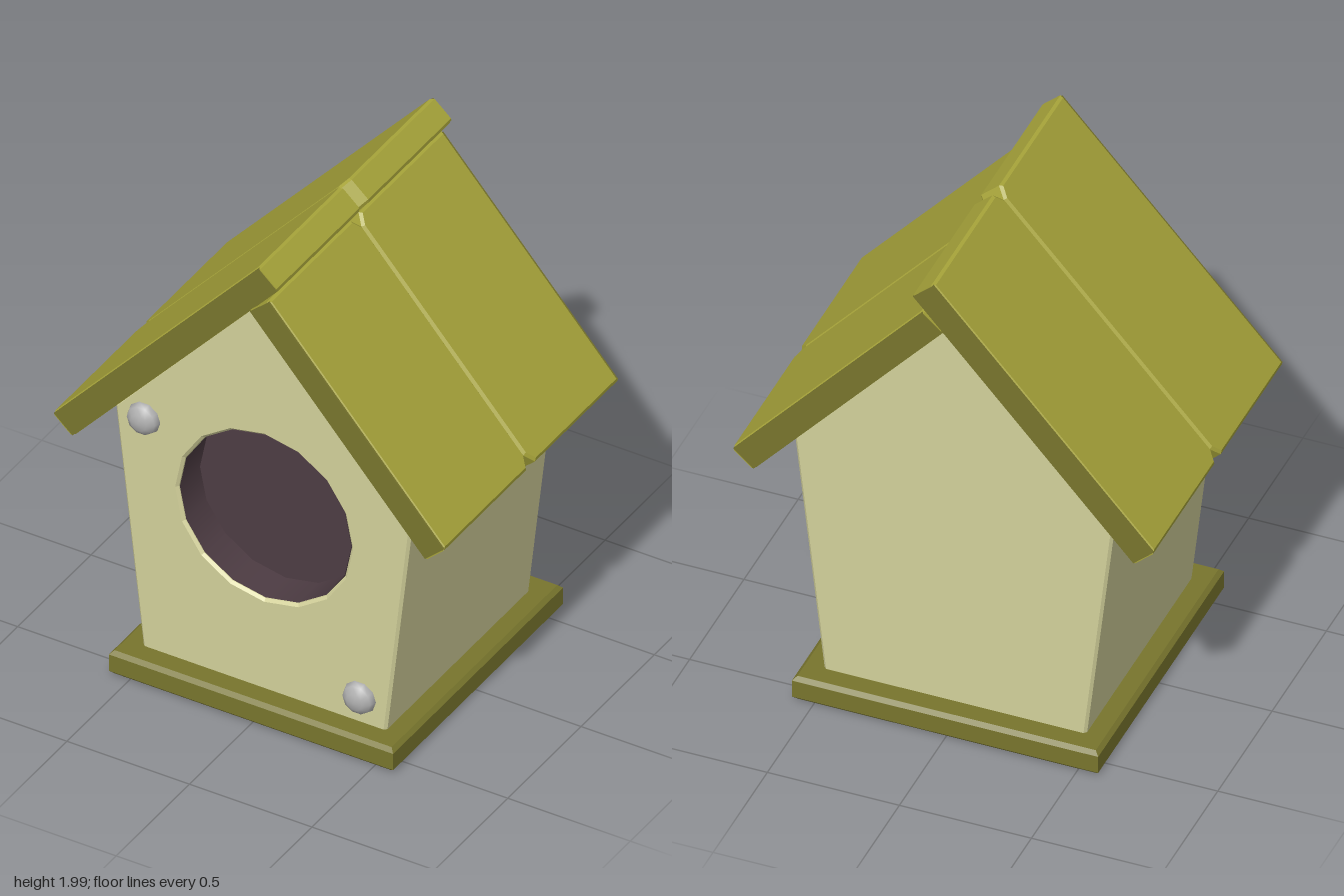
import * as THREE from 'three';

const mat = (name, color) => {
  const m = new THREE.MeshStandardMaterial({ color });
  m.name = name;
  return m;
};

// Polygon from corner pairs
const polygon = (pts) => new THREE.Shape(pts.map(([x, y]) => new THREE.Vector2(x, y)));

// Extrusion with a small chamfer kept inside the outline, total thickness t, centred in z
function bevelled(shape, t, b) {
  const g = new THREE.ExtrudeGeometry(shape, {
    depth: t - 2 * b, bevelEnabled: true, bevelThickness: b, bevelSize: b,
    bevelOffset: -b, bevelSegments: 1, curveSegments: 1,
  });
  g.translate(0, 0, b - t / 2);
  return g;
}

export function createModel() {
  const model = new THREE.Group();
  const wall = mat('cream wall', 0xd2d09a);
  const roof = mat('olive roof', 0xa7a43a);
  const trim = mat('dark olive trim', 0x78752d);
  const dark = mat('dark interior', 0x4d3c43);
  const metal = mat('grey metal', 0xb0b0b0);

  const add = (parent, name, geometry, material, x = 0, y = 0, z = 0) => {
    const mesh = new THREE.Mesh(geometry, material);
    mesh.name = name;
    mesh.position.set(x, y, z);
    parent.add(mesh);
    return mesh;
  };

  // Square base board
  const h = 0.58;
  const baseGeo = bevelled(polygon([[-h, -h], [h, -h], [h, h], [-h, h]]), 0.1, 0.015);
  baseGeo.rotateX(-Math.PI / 2);
  add(model, 'baseBoard', baseGeo, trim, 0, 0.05, 0);

  // House body: solid rear block and a front wall with the entrance cut through
  const outline = [[-0.495, 0.08], [0.495, 0.08], [0.61, 1.1], [0, 1.79], [-0.61, 1.1]];
  add(model, 'bodyBlock', bevelled(polygon(outline), 0.83, 0.01), wall, 0, 0, -0.075);

  const holeY = 0.835, holeR = 0.353, sides = 16;
  const front = polygon(outline);
  const hole = [];
  for (let i = 0; i < sides; i++) {
    const a = -(i / sides) * Math.PI * 2;
    hole.push(new THREE.Vector2(holeR * Math.cos(a), holeY + holeR * Math.sin(a)));
  }
  front.holes.push(new THREE.Path(hole));
  add(model, 'frontWall', bevelled(front, 0.21, 0.01), wall, 0, 0, 0.385);

  // Dark lining and back of the entrance
  const lining = mat('dark lining', 0x4d3c43);
  lining.side = THREE.DoubleSide;
  const tube = new THREE.CylinderGeometry(holeR - 0.003, holeR - 0.003, 0.138, sides, 1, true);
  tube.rotateX(Math.PI / 2);
  add(model, 'entranceLining', tube, lining, 0, holeY, 0.411);
  add(model, 'entranceBack', new THREE.CircleGeometry(holeR, sides), dark, 0, holeY, 0.343);

  // Roof slopes: two planks each, notched where they meet
  const plankW = 0.595, thick = 0.11;
  function slope(name, length, x, y, degrees) {
    const group = new THREE.Group();
    group.name = name;
    const l = length / 2;
    const shape = polygon([
      [-l + 0.045, 0], [l - 0.045, 0], [l, 0.03], [l, plankW], [-l, plankW], [-l, 0.03],
    ]);
    const plank = bevelled(shape, thick, 0.01);
    plank.rotateX(Math.PI / 2);
    for (const turn of [0, Math.PI]) {
      const half = new THREE.Group();
      half.name = turn ? 'rearPlank' : 'frontPlank';
      half.rotation.y = turn;
      add(half, 'plank', plank, roof);
      // Dark end grain
      add(half, 'endGrain', new THREE.BoxGeometry(length - 0.008, thick - 0.008, 0.008), trim, 0, 0, plankW - 0.003);
      group.add(half);
    }
    group.position.set(x, y, 0);
    group.rotation.z = THREE.MathUtils.degToRad(degrees);
    model.add(group);
  }
  slope('rightRoofSlope', 1.26, -0.34, 1.49, 48.2);
  slope('leftRoofSlope', 1.084, 0.4, 1.425, -48.4);

  // Domed nail heads
  const nail = new THREE.SphereGeometry(0.066, 10, 6);
  nail.rotateX(Math.PI / 2);
  nail.scale(1, 1, 0.7);
  for (const [x, y] of [[-0.49, 1.085], [0.39, 0.205]]) add(model, 'nailHead', nail, metal, x, y, 0.49);

  return model;
}
